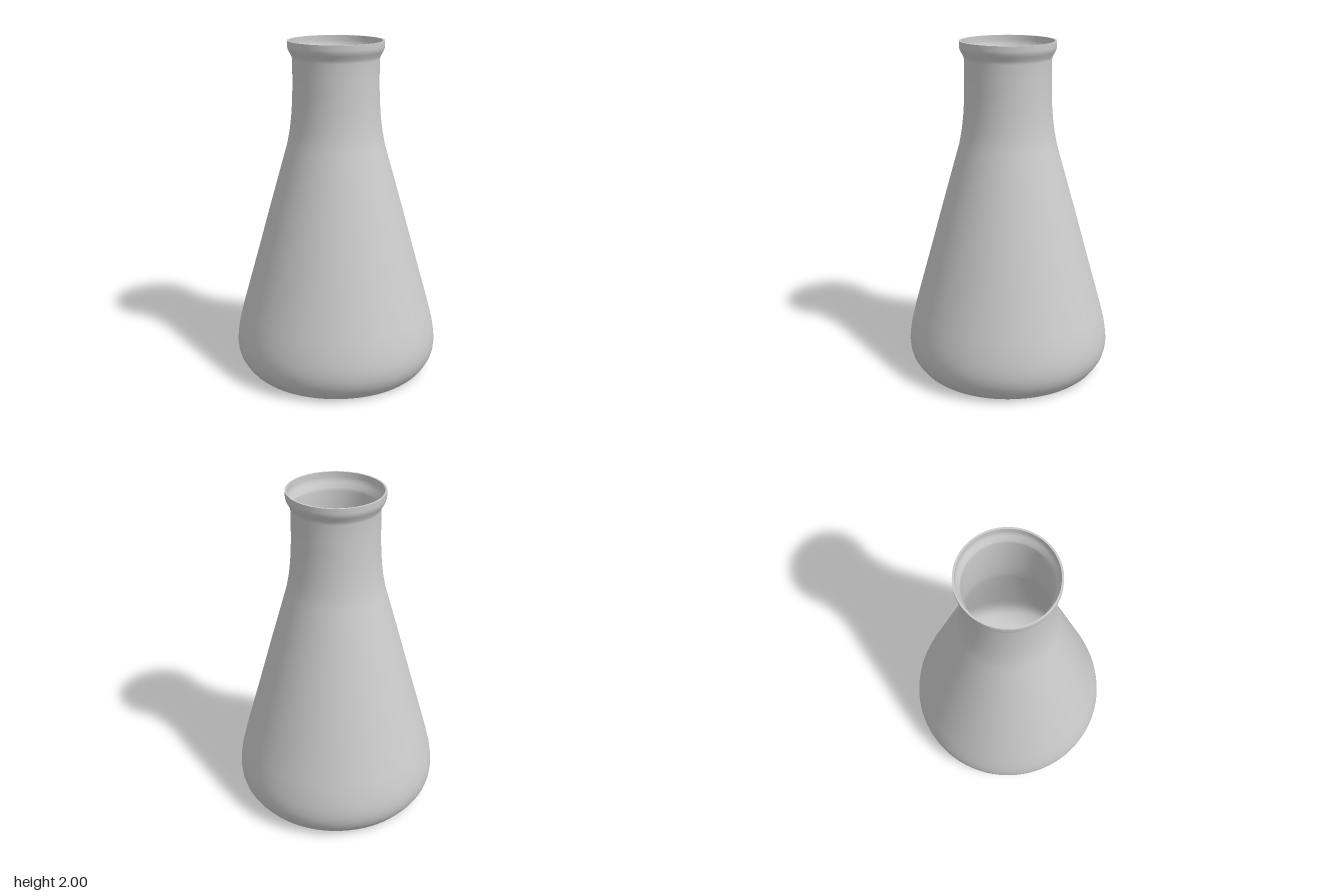
import * as THREE from 'three';

const SEGMENTS = 96;
const material = new THREE.MeshStandardMaterial({ color: 0xcccccc });

// Revolve a profile of [radius, height] pairs around the y axis
function revolve(name, profile) {
  const points = profile.map(([r, y]) => new THREE.Vector2(r, y));
  const mesh = new THREE.Mesh(new THREE.LatheGeometry(points, SEGMENTS), material);
  mesh.name = name;
  return mesh;
}

export function createModel() {
  const group = new THREE.Group();
  group.name = 'conicalFlask';

  // Outer wall: rounded foot, conical body, neck and flared lip
  const outer = [
    [0.51, 0], [0.532, 0.006], [0.548, 0.02], [0.575, 0.055], [0.595, 0.09],
    [0.606, 0.13], [0.61, 0.175], [0.606, 0.22], [0.597, 0.28], [0.571, 0.386],
    [0.455, 0.8], [0.4, 1.0], [0.287, 1.4], [0.272, 1.48], [0.262, 1.56],
    [0.256, 1.64], [0.253, 1.72], [0.252, 1.8], [0.252, 1.895],
    [0.257, 1.915], [0.271, 1.938], [0.278, 1.955], [0.28, 1.97], [0.28, 2],
  ];

  // Inner wall: the same curve set in by the glass thickness, read from the lip down
  const thickness = 0.011;
  const inner = outer.slice(1).reverse()
    .map(([r, y]) => [r - thickness, y > 1.99 ? y : y + thickness * (y < 0.1 ? 1 : 0)]);

  const floorEdge = inner[inner.length - 1];
  group.add(
    revolve('outerWall', outer),
    revolve('rim', [[0.28, 2], [0.28 - thickness, 2]]),
    revolve('innerWall', inner),
    revolve('innerFloor', [floorEdge, [0, floorEdge[1]]]),
    revolve('base', [[0, 0], [0.51, 0]]),
  );
  return group;
}
